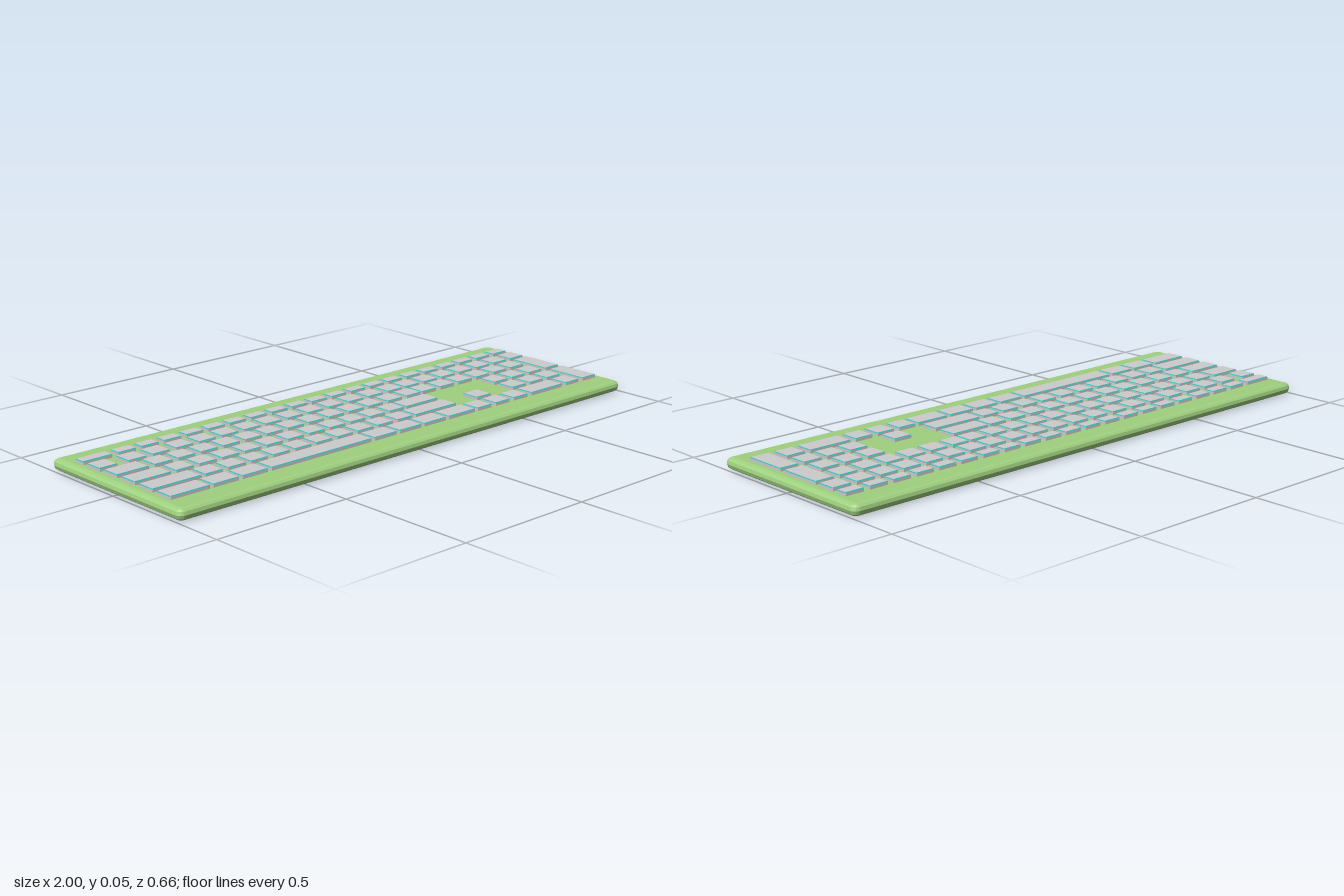
import * as THREE from 'three';

const bodyMat = new THREE.MeshStandardMaterial({ color: 0x9fd07f, flatShading: true });
const keyMat = new THREE.MeshStandardMaterial({ color: 0xcccccc, flatShading: true });
const trimMat = new THREE.MeshStandardMaterial({ color: 0x35b5b5, flatShading: true });

// Rounded rectangle outline, shrunk by an inset
function outline(w, d, r, inset, seg) {
  const pts = [];
  const rr = Math.max(r - inset, 0.0005);
  const cx = w / 2 - inset - rr, cz = d / 2 - inset - rr;
  [[1, 1], [-1, 1], [-1, -1], [1, -1]].forEach(([sx, sz], q) => {
    for (let i = 0; i <= seg; i++) {
      const a = (q + i / seg) * Math.PI / 2;
      pts.push([sx * cx + rr * Math.cos(a), sz * cz + rr * Math.sin(a)]);
    }
  });
  return pts;
}

// Skin stacked outlines from bottom to top; levels are [inset, y]
function loft(w, d, r, seg, levels, capBottom, capTop) {
  const pos = [], index = [];
  const n = 4 * (seg + 1);
  for (const [inset, y] of levels)
    for (const [x, z] of outline(w, d, r, inset, seg)) pos.push(x, y, z);
  for (let l = 0; l < levels.length - 1; l++)
    for (let i = 0; i < n; i++) {
      const a = l * n + i, b = l * n + (i + 1) % n;
      index.push(a, a + n, b, b, a + n, b + n);
    }
  const top = (levels.length - 1) * n;
  for (let i = 1; i < n - 1; i++) {
    if (capBottom) index.push(0, i, i + 1);
    if (capTop) index.push(top, top + i + 1, top + i);
  }
  const g = new THREE.BufferGeometry();
  g.setAttribute('position', new THREE.Float32BufferAttribute(pos, 3));
  g.setIndex(index);
  const flat = g.toNonIndexed();
  flat.computeVertexNormals();
  return flat;
}

// Key with grey sides and top, and a thin coloured bevel between them
function makeKey(name, x0, x1, z0, z1) {
  const key = new THREE.Group();
  key.name = name;
  const w = x1 - x0, d = z1 - z0;
  const add = (part, mat, levels, cap) => {
    const mesh = new THREE.Mesh(loft(w, d, 0.002, 1, levels, false, cap), mat);
    mesh.name = part;
    key.add(mesh);
  };
  add('keySides', keyMat, [[0, 0.038], [0, 0.0505]], false);
  add('keyBevel', trimMat, [[0, 0.0505], [0.003, 0.053]], false);
  add('keyTop', keyMat, [[0.003, 0.053], [0.004, 0.0531]], true);
  key.position.set((x0 + x1) / 2, 0, (z0 + z1) / 2);
  return key;
}

export function createModel() {
  const model = new THREE.Group();
  model.name = 'keyboard';

  // Flat body with a rounded rim
  const body = new THREE.Mesh(loft(2, 0.66, 0.025, 5, [
    [0.021, 0], [0.012, 0.003], [0.004, 0.009], [0, 0.021],
    [0.003, 0.032], [0.01, 0.038], [0.021, 0.041]], true, true), bodyMat);
  body.name = 'body';
  model.add(body);

  const P = 0.0908, W = 0.072;
  const run = (start, count, pitch = P) =>
    Array.from({ length: count }, (_, i) => [start + i * pitch, start + i * pitch + W]);
  const nav = 0.347, pad = nav + 3 * P, last = nav + 6 * P;

  // Each row: z from, z to, and the x spans of its keys
  const rows = [
    ['functionKey', -0.243, -0.2, [[-0.967, -0.853], ...run(-0.833, 20)]],
    ['numberKey', -0.181, -0.113, [[-0.967, -0.897], ...run(-0.857, 13, 0.0933), ...run(nav, 7)]],
    ['upperLetterKey', -0.097, -0.028, [[-0.963, -0.84], ...run(-0.819, 13), ...run(nav, 6)]],
    ['middleLetterKey', -0.007, 0.062,
      [[-0.963, -0.823], ...run(-0.806, 11), [0.182, 0.336], ...run(pad, 3)]],
    ['lowerLetterKey', 0.081, 0.15,
      [[-0.963, -0.775], ...run(-0.762, 10), [0.14, 0.336], ...run(nav + P, 1), ...run(pad, 3)]],
    ['bottomKey', 0.169, 0.239,
      [[-0.963, -0.813], [-0.802, -0.7], [-0.688, -0.585], [-0.572, -0.146], [-0.135, -0.033],
        [-0.021, 0.08], [0.091, 0.196], [0.208, 0.336], ...run(nav, 3),
        [pad, pad + P + W], ...run(pad + 2 * P, 1)]],
    ['tallUpperKey', -0.097, 0.062, run(last, 1)],
    ['tallLowerKey', 0.081, 0.239, run(last, 1)],
  ];
  for (const [name, z0, z1, spans] of rows) {
    const row = new THREE.Group();
    row.name = name + 'Row';
    for (const [x0, x1] of spans) row.add(makeKey(name, x0, x1, z0, z1));
    model.add(row);
  }
  return model;
}
